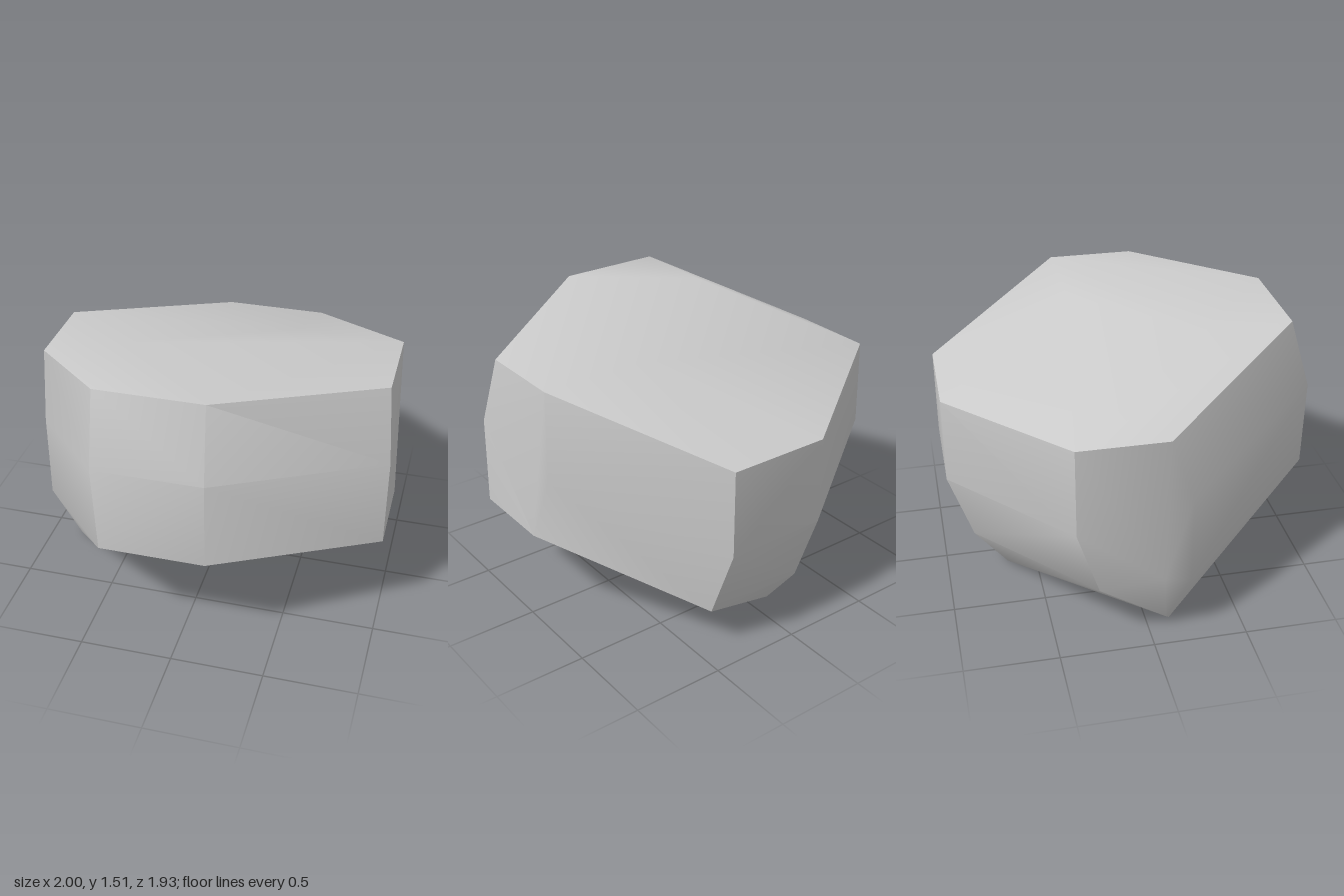
import * as THREE from 'three';
import { ConvexGeometry } from 'three/addons/geometries/ConvexGeometry.js';
import { toCreasedNormals } from 'three/addons/utils/BufferGeometryUtils.js';

// Corners of the boulder, by side
const corners = {
  top: [[-0.41, 1.51, 0.37], [0.39, 1.4, -0.2]],
  front: [
    [-0.41, 1.51, 0.84], [0.16, 1.51, 0.84],
    [-0.4, 1.12, 0.96], [0.18, 1.12, 0.96],
    [-0.38, 0.64, 0.96], [0.18, 0.64, 0.96],
  ],
  leftSide: [
    [0.96, 1.4, 0.28], [0.96, 1.4, -0.2],
    [1, 1.02, 0.39], [0.97, 0.9, -0.2],
    [1, 0.53, 0.4], [1, 0.53, -0.07],
  ],
  back: [
    [0.39, 1.11, -0.97], [-0.17, 1.11, -0.97],
    [0.39, 0.63, -0.97], [-0.17, 0.63, -0.97],
    [0.42, 0.24, -0.84], [-0.15, 0.24, -0.84],
  ],
  rightSide: [
    [-0.98, 1.22, -0.4], [-0.98, 1.22, 0.07],
    [-0.99, 0.74, -0.4], [-0.95, 0.85, 0.2],
    [-1, 0.42, 0.05], [-0.95, 0.36, 0.2], [-0.95, 0.36, -0.28],
  ],
  base: [[-0.12, 0, -0.66], [-0.85, 0.05, 0.1], [-0.82, 0.02, 0.12]],
};

export function createModel() {
  const group = new THREE.Group();
  group.name = 'boulder';

  // Chiselled convex stone: soft shallow bends, sharp steep edges
  const points = Object.values(corners).flat().map((p) => new THREE.Vector3(...p));
  const stone = new THREE.Mesh(
    toCreasedNormals(new ConvexGeometry(points), THREE.MathUtils.degToRad(35)),
    new THREE.MeshStandardMaterial({ color: 0xcccccc })
  );
  stone.name = 'stone';
  group.add(stone);
  return group;
}
